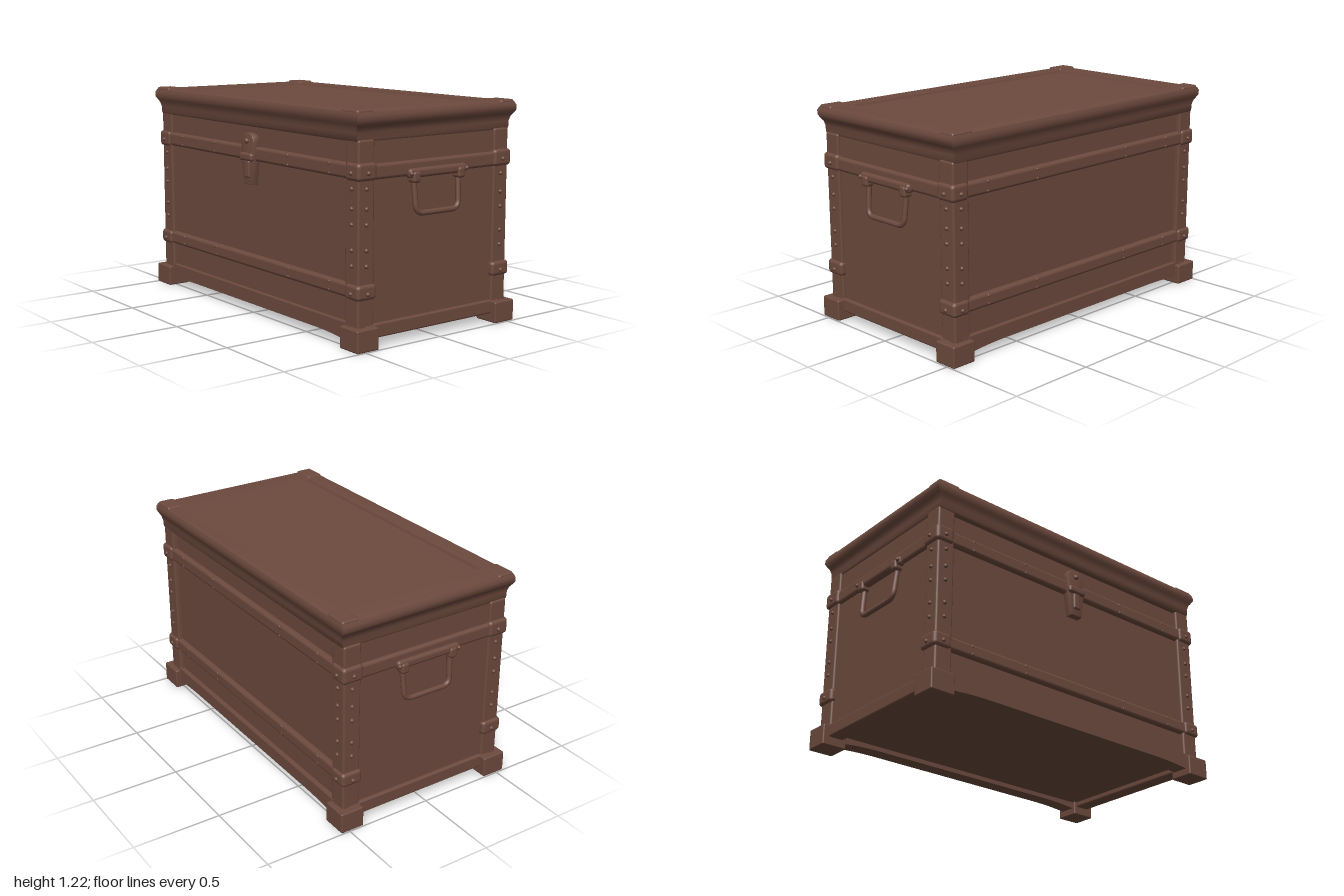
import * as THREE from 'three';
import { toCreasedNormals } from 'three/addons/utils/BufferGeometryUtils.js';
import { RoundedBoxGeometry } from 'three/addons/geometries/RoundedBoxGeometry.js';

const wood = new THREE.MeshStandardMaterial({ color: 0x6d4a3e });
wood.name = 'brown wood';

function add(parent, name, geometry, x = 0, y = 0, z = 0) {
  const mesh = new THREE.Mesh(geometry, wood);
  mesh.name = name;
  mesh.position.set(x, y, z);
  parent.add(mesh);
  return mesh;
}

// Rounded box given by its lower and upper corners
function block(parent, name, [x0, y0, z0], [x1, y1, z1], r = 0.01) {
  const geometry = new RoundedBoxGeometry(x1 - x0, y1 - y0, z1 - z0, 2, r);
  return add(parent, name, geometry, (x0 + x1) / 2, (y0 + y1) / 2, (z0 + z1) / 2);
}

// Closed solid through rectangular rings [halfX, halfZ, y], listed from bottom to top
function rectLoft(rings) {
  const points = [], index = [];
  for (const [hx, hz, y] of rings) points.push(hx, y, hz, hx, y, -hz, -hx, y, -hz, -hx, y, hz);
  for (let i = 0; i < rings.length - 1; i++) {
    for (let j = 0; j < 4; j++) {
      const a = i * 4 + j, b = i * 4 + (j + 1) % 4;
      index.push(a, b, b + 4, a, b + 4, a + 4);
    }
  }
  const t = (rings.length - 1) * 4;
  index.push(0, 2, 1, 0, 3, 2, t, t + 1, t + 2, t, t + 2, t + 3);
  const geometry = new THREE.BufferGeometry();
  geometry.setAttribute('position', new THREE.Float32BufferAttribute(points, 3));
  geometry.setIndex(index);
  return toCreasedNormals(geometry, 0.75);
}

function rivet(parent, x, y, z, r = 0.012) {
  add(parent, 'rivet', new THREE.SphereGeometry(r, 8, 6), x, y, z);
}

// Pull handle with its mounting bar, facing +x
function makeHandle() {
  const group = new THREE.Group();
  group.name = 'sideHandle';
  block(group, 'handleBar', [0.93, 0.85, -0.2], [0.98, 0.9, 0.2], 0.018);
  for (const s of [-1, 1]) {
    block(group, 'handleBracket', [0.93, 0.825, s * 0.155 - 0.025], [0.988, 0.885, s * 0.155 + 0.025], 0.015);
    rivet(group, 0.98, 0.875, s * 0.19);
  }
  const path = new THREE.CurvePath();
  const p = (y, z) => new THREE.Vector3(0.95 + (0.86 - y) * 0.09, y, z);
  path.add(new THREE.LineCurve3(p(0.86, 0.155), p(0.71, 0.148)));
  path.add(new THREE.QuadraticBezierCurve3(p(0.71, 0.148), p(0.665, 0.145), p(0.665, 0.1)));
  path.add(new THREE.LineCurve3(p(0.665, 0.1), p(0.665, -0.1)));
  path.add(new THREE.QuadraticBezierCurve3(p(0.665, -0.1), p(0.665, -0.145), p(0.71, -0.148)));
  path.add(new THREE.LineCurve3(p(0.71, -0.148), p(0.86, -0.155)));
  add(group, 'handleGrip', new THREE.TubeGeometry(path, 60, 0.015, 8));
  return group;
}

// Tapered hasp on a rounded plate
function makeLatch() {
  const group = new THREE.Group();
  group.name = 'latch';
  const shape = new THREE.Shape();
  shape.moveTo(-0.032, 0.74);
  shape.lineTo(0.032, 0.74);
  shape.lineTo(0.052, 0.87);
  shape.lineTo(0.052, 0.97);
  shape.quadraticCurveTo(0.05, 1.012, 0, 1.012);
  shape.quadraticCurveTo(-0.05, 1.012, -0.052, 0.97);
  shape.lineTo(-0.052, 0.87);
  const plate = new THREE.ExtrudeGeometry(shape, {
    depth: 0.03, bevelEnabled: true, bevelSize: 0.008, bevelThickness: 0.008, bevelSegments: 2, curveSegments: 6,
  });
  add(group, 'latchPlate', toCreasedNormals(plate, 0.7), 0, 0, 0.495);
  block(group, 'latchHinge', [-0.06, 0.865, 0.49], [0.06, 0.91, 0.55], 0.015);
  block(group, 'latchTongue', [-0.025, 0.77, 0.51], [0.025, 0.87, 0.543], 0.012);
  rivet(group, 0, 0.975, 0.533, 0.016);
  return group;
}

export function createModel() {
  const chest = new THREE.Group();
  chest.name = 'chest';

  // Body panels
  add(chest, 'body', new THREE.BoxGeometry(1.88, 0.98, 0.98), 0, 0.57, 0);

  // Flared lid moulding with a sunken top panel
  add(chest, 'lid', rectLoft([
    [0.945, 0.515, 1.055], [0.95, 0.522, 1.065], [0.95, 0.524, 1.1], [0.958, 0.53, 1.125],
    [0.97, 0.537, 1.14], [0.984, 0.547, 1.16], [0.984, 0.547, 1.185], [0.975, 0.54, 1.203],
    [0.955, 0.525, 1.208], [0.83, 0.432, 1.208], [0.824, 0.426, 1.194],
  ]));

  // Long bands and rails on front and back
  for (const s of [-1, 1]) {
    const span = (name, y0, y1, out, r) =>
      block(chest, name, [-0.95, y0, s * (out - 0.025) - 0.025], [0.95, y1, s * (out - 0.025) + 0.025], r);
    span('upperBand', 0.865, 0.945, 0.52, 0.018);
    span('lowerBand', 0.26, 0.335, 0.52, 0.018);
    for (const y of [0.88, 0.93, 0.277, 0.32]) {
      for (const x of [-0.72, -0.36, 0.36, 0.72]) rivet(chest, x, y, s * 0.515, 0.009);
    }
    // Bottom rail, slightly arched underneath
    const rail = new THREE.Shape();
    rail.moveTo(-0.9, 0.035);
    rail.quadraticCurveTo(-0.75, 0.055, -0.6, 0.055);
    rail.lineTo(0.6, 0.055);
    rail.quadraticCurveTo(0.75, 0.055, 0.9, 0.035);
    rail.lineTo(0.9, 0.13);
    rail.lineTo(-0.9, 0.13);
    const railGeometry = new THREE.ExtrudeGeometry(rail, { depth: 0.09, bevelEnabled: false });
    add(chest, 'bottomRail', railGeometry, 0, 0, s * 0.475 - 0.045);

    // Rails, bands and handles on the ends
    block(chest, 'endBottomRail', [s * 0.915 - 0.045, 0.05, -0.47], [s * 0.915 + 0.045, 0.125, 0.47]);
    block(chest, 'endUpperBand', [s * 0.935 - 0.025, 0.86, -0.5], [s * 0.935 + 0.025, 0.94, 0.5], 0.018);
    const handle = makeHandle();
    if (s < 0) handle.rotation.y = Math.PI;
    chest.add(handle);
  }

  // Corner posts, feet, wraps and rivets
  for (const sx of [-1, 1]) {
    for (const sz of [-1, 1]) {
      const corner = (name, inX, outX, inZ, outZ, y0, y1, r) => block(chest, name,
        [Math.min(sx * inX, sx * outX), y0, Math.min(sz * inZ, sz * outZ)],
        [Math.max(sx * inX, sx * outX), y1, Math.max(sz * inZ, sz * outZ)], r);
      corner('cornerPost', 0.85, 0.957, 0.412, 0.517, 0.08, 1.065, 0.012);
      corner('foot', 0.85, 0.997, 0.41, 0.55, 0, 0.118, 0.008);
      corner('upperCornerWrap', 0.86, 0.972, 0.405, 0.53, 0.86, 0.952, 0.02);
      corner('lowerCornerWrap', 0.86, 0.972, 0.405, 0.53, 0.257, 0.338, 0.02);
      corner('lidCornerCap', 0.84, 0.975, 0.44, 0.54, 1.17, 1.216, 0.012);
      for (const y of [0.43, 0.51, 0.64, 0.72, 0.82]) {
        rivet(chest, sx * 0.957, y, sz * 0.465);
        rivet(chest, sx * 0.905, y, sz * 0.517);
      }
      for (const y of [0.29, 0.9]) {
        rivet(chest, sx * 0.972, y, sz * 0.465);
        rivet(chest, sx * 0.915, y, sz * 0.53);
      }
    }
  }

  chest.add(makeLatch());
  return chest;
}
